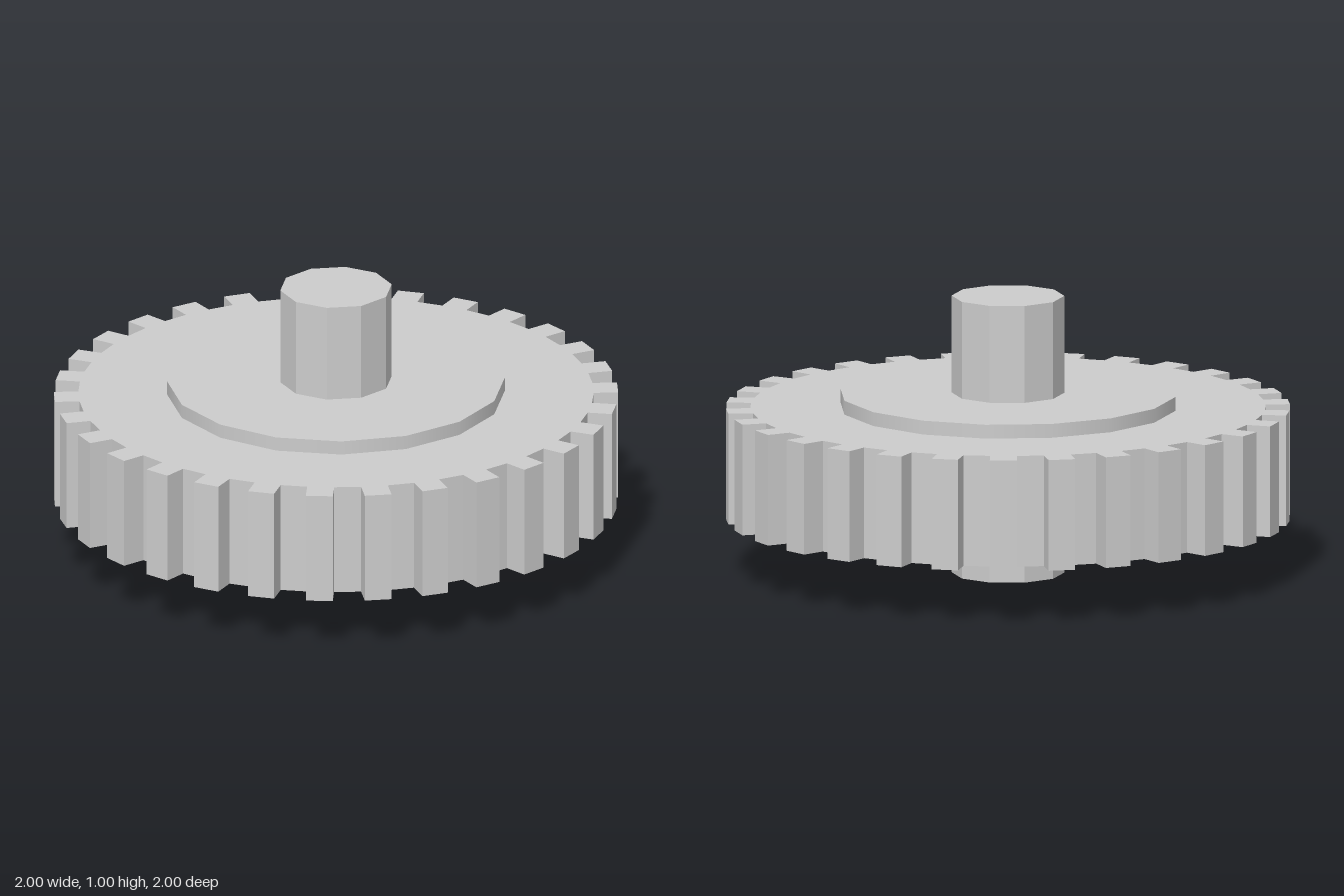
import * as THREE from 'three';

const TEETH = 30;
const ROOT = 0.914;   // radius at the bottom of the gaps
const TIP = 1.0;      // radius at the tooth faces
const HALF = 0.048;   // half the width of a tooth

// Outline of the gear: straight, parallel-sided teeth with flat gaps
function gearShape() {
  const points = [];
  for (let i = 0; i < TEETH; i++) {
    const a = (i / TEETH) * Math.PI * 2;
    const inner = Math.sqrt(ROOT * ROOT - HALF * HALF);
    for (const [r, t] of [[inner, -HALF], [TIP, -HALF], [TIP, HALF], [inner, HALF]]) {
      points.push(new THREE.Vector2(
        r * Math.cos(a) - t * Math.sin(a),
        r * Math.sin(a) + t * Math.cos(a)
      ));
    }
  }
  return new THREE.Shape(points);
}

export function createModel() {
  const model = new THREE.Group();
  model.name = 'gear';

  const metal = new THREE.MeshStandardMaterial({ color: 0xcccccc });
  metal.name = 'grey metal';
  const facetedMetal = metal.clone();
  facetedMetal.flatShading = true;

  const add = (name, geometry, material, y) => {
    const mesh = new THREE.Mesh(geometry, material);
    mesh.name = name;
    mesh.position.y = y;
    model.add(mesh);
  };

  // Toothed wheel, from y = 0.2 to 0.6
  const wheel = new THREE.ExtrudeGeometry(gearShape(), { depth: 0.4, bevelEnabled: false });
  wheel.rotateX(-Math.PI / 2);
  add('toothedWheel', wheel, facetedMetal, 0.2);

  // Raised hub disc, showing on both faces of the wheel
  const hub = new THREE.CylinderGeometry(0.6, 0.6, 0.5, 16, 1, false, Math.PI / 16);
  add('hubDisc', hub, metal, 0.4);

  // Ten-sided axle through the middle
  add('axle', new THREE.CylinderGeometry(0.2, 0.2, 1, 10), facetedMetal, 0.5);

  return model;
}
